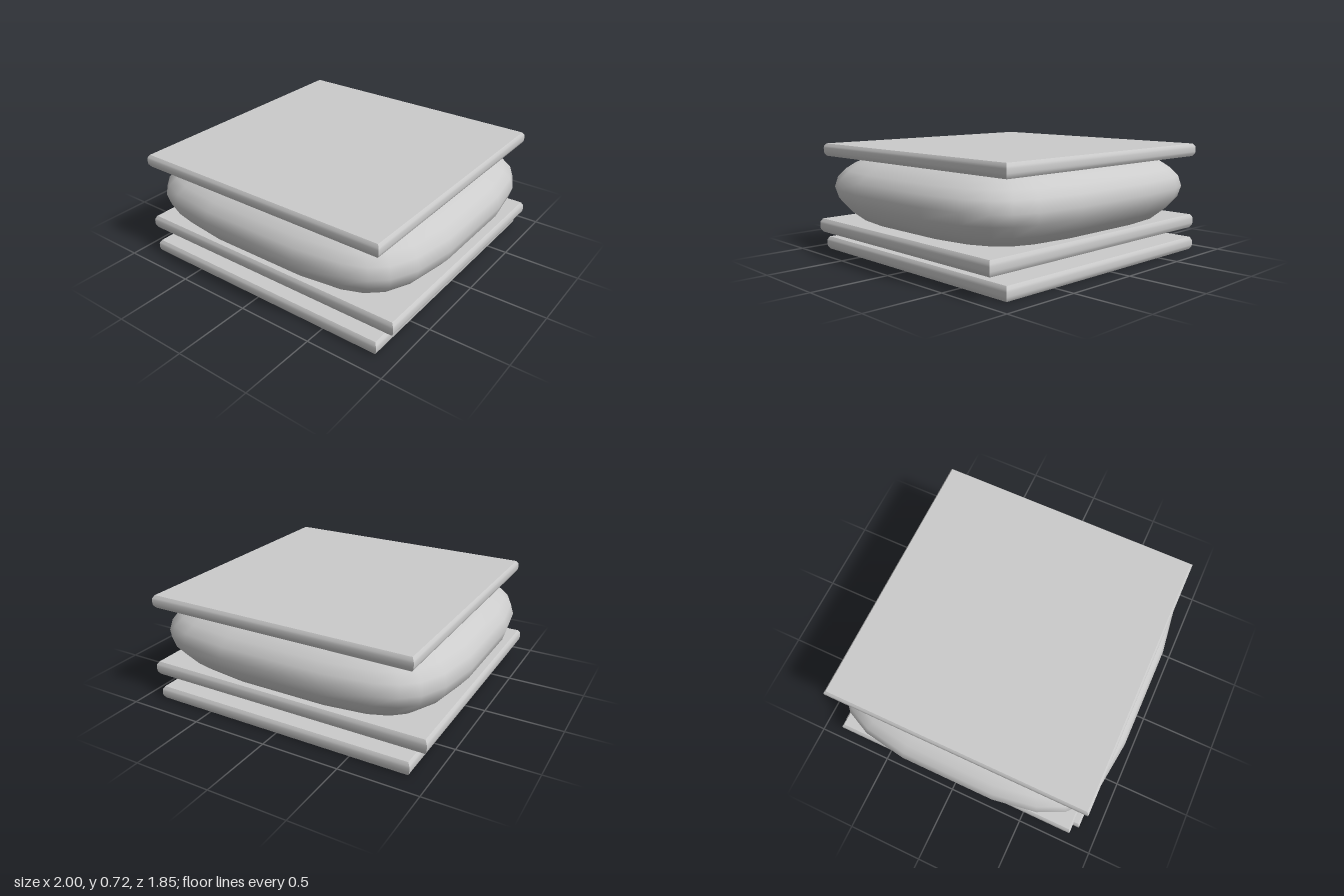
import * as THREE from 'three';
import { toCreasedNormals } from 'three/addons/utils/BufferGeometryUtils.js';

const material = new THREE.MeshStandardMaterial({ color: 0xcccccc });

// Closed solid from one plan outline [x, z], repeated at levels [scale, y]
function loft(outline, levels, bottomY, topY, crease) {
  const n = outline.length;
  const positions = [];
  const index = [];
  for (const [s, y] of levels) {
    for (const [x, z] of outline) positions.push(x * s, y, z * s);
  }
  const bottom = n * levels.length;
  const top = bottom + 1;
  positions.push(0, bottomY, 0, 0, topY, 0);
  const last = n * (levels.length - 1);
  for (let i = 0; i < n; i++) {
    const j = (i + 1) % n;
    for (let k = 0; k < last; k += n) {
      index.push(k + i, k + n + i, k + j, k + n + i, k + n + j, k + j);
    }
    index.push(bottom, i, j, top, last + j, last + i);
  }
  const geometry = new THREE.BufferGeometry();
  geometry.setAttribute('position', new THREE.Float32BufferAttribute(positions, 3));
  geometry.setIndex(index);
  return toCreasedNormals(geometry, crease);
}

// Thin square slab with softly rounded sides
function makeSlab(name, halfX, halfZ, y0, y1) {
  const h = y1 - y0;
  const outline = [[halfX, -halfZ], [halfX, halfZ], [-halfX, halfZ], [-halfX, -halfZ]];
  const levels = [[0.984, 0], [0.997, 0.2], [1, 0.35], [1, 0.65], [0.997, 0.8], [0.984, 1]]
    .map(([s, t]) => [s, y0 + t * h]);
  const mesh = new THREE.Mesh(loft(outline, levels, y0, y1, 0.8), material);
  mesh.name = name;
  return mesh;
}

// Puffy filling with a rounded-square plan
function makeFilling() {
  const quarter = [[1, 0], [1, 0.31], [0.955, 0.59], [0.88, 0.75], [0.79, 0.83],
    [0.65, 0.885], [0.34, 0.925], [0, 0.925]];
  const half = [...quarter, ...quarter.slice(0, -1).reverse().map(([x, z]) => [-x, z])];
  const outline = [...half, ...half.slice(1, -1).reverse().map(([x, z]) => [x, -z])];
  const levels = [[0.5, 0.229], [0.85, 0.236], [0.92, 0.295], [0.98, 0.37], [1, 0.44],
    [0.98, 0.51], [0.935, 0.56], [0.88, 0.6], [0.8, 0.637], [0.5, 0.64]];
  const mesh = new THREE.Mesh(loft(outline, levels, 0.228, 0.64, 1), material);
  mesh.name = 'filling';
  return mesh;
}

export function createModel() {
  const model = new THREE.Group();
  model.name = 'layeredSandwich';
  model.add(
    makeSlab('bottomSlab', 0.88, 0.875, 0, 0.085),
    makeSlab('middleSlab', 0.955, 0.828, 0.135, 0.225),
    makeFilling(),
    makeSlab('topSlab', 0.88, 0.875, 0.635, 0.718),
  );
  return model;
}
